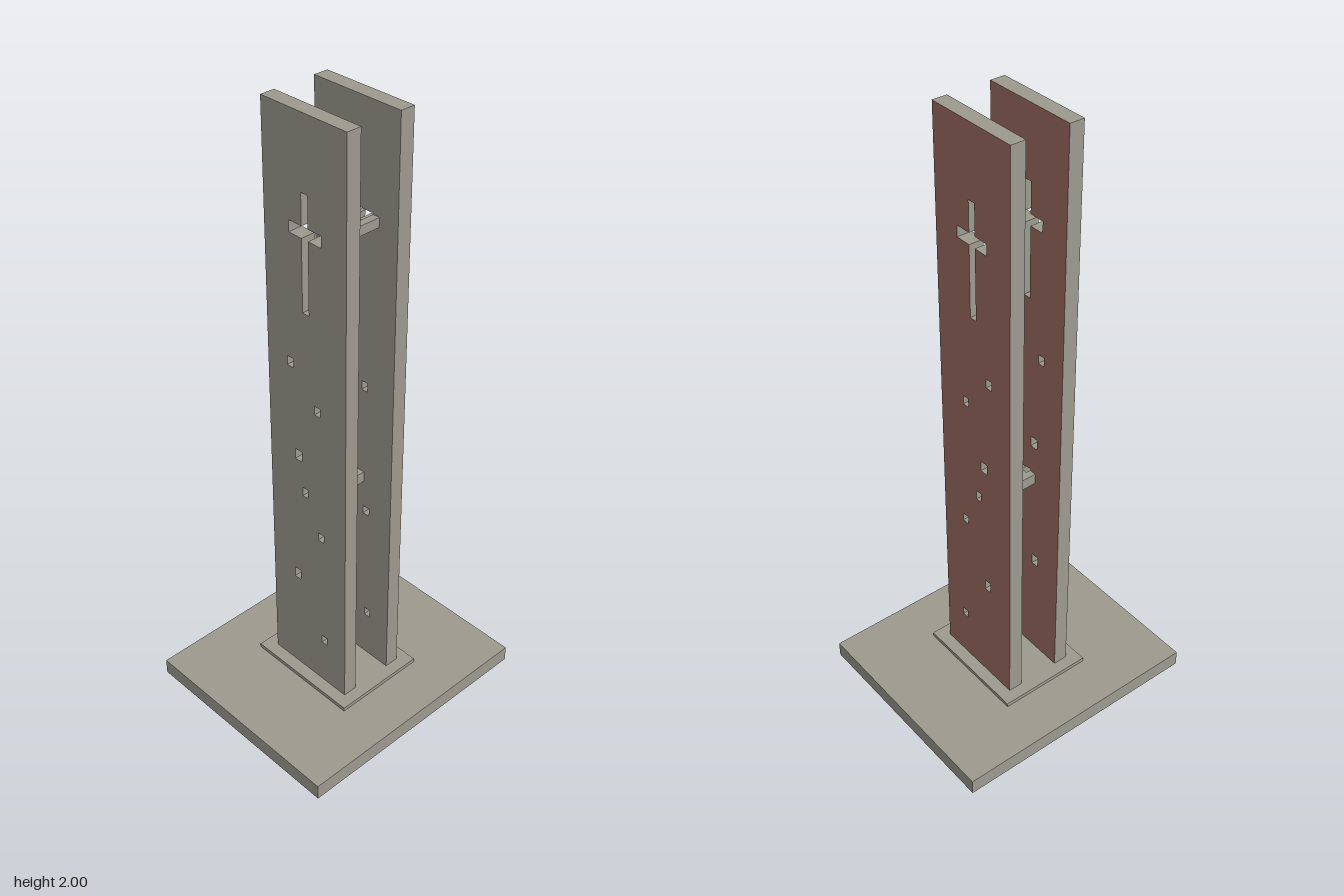
import * as THREE from 'three';

const stone = new THREE.MeshStandardMaterial({ color: 0x9e9c90 });
stone.name = 'grey stone';
const red = new THREE.MeshStandardMaterial({ color: 0xa37266 });
red.name = 'rust red';

const BASE_TOP = 0.053, PLINTH_TOP = 0.066, TOP = 2;
const INNER = 0.07, THICK = 0.048, HALF_DEPTH = 0.16;

// small windows: centre z, centre y, width, height
const windows = [
  [-0.066, 1.23, 0.025, 0.03],
  [0.043, 1.111, 0.023, 0.03],
  [-0.038, 0.915, 0.028, 0.036],
  [-0.012, 0.789, 0.022, 0.032],
  [0.056, 0.655, 0.025, 0.028],
  [-0.051, 0.448, 0.026, 0.037],
  [0.068, 0.241, 0.023, 0.029],
];

// closed outline from [x, y] pairs
const outline = (points, Type = THREE.Shape) =>
  new Type(points.map(([x, y]) => new THREE.Vector2(x, y)));

function box(name, x0, x1, y0, y1, z0, z1) {
  const mesh = new THREE.Mesh(new THREE.BoxGeometry(x1 - x0, y1 - y0, z1 - z0), stone);
  mesh.position.set((x0 + x1) / 2, (y0 + y1) / 2, (z0 + z1) / 2);
  mesh.name = name;
  return mesh;
}

// upright slab with a cross and windows cut through, red on its +x face
function slabGeometry() {
  const d = HALF_DEPTH;
  const shape = outline([[-d, PLINTH_TOP], [d, PLINTH_TOP], [d, TOP], [-d, TOP]]);
  // drawn in (-z, y)
  const l = -0.0135, r = 0.0115, armL = -0.065, armR = 0.062;
  const foot = 1.414, head = 1.777, armLow = 1.643, armHigh = 1.679;
  shape.holes.push(outline([
    [l, foot], [r, foot], [r, armLow], [armR, armLow], [armR, armHigh], [r, armHigh],
    [r, head], [l, head], [l, armHigh], [armL, armHigh], [armL, armLow], [l, armLow],
  ], THREE.Path));
  for (const [z, y, w, h] of windows) {
    const a = -z - w / 2, b = -z + w / 2, c = y - h / 2, e = y + h / 2;
    shape.holes.push(outline([[a, c], [b, c], [b, e], [a, e]], THREE.Path));
  }
  const geometry = new THREE.ExtrudeGeometry(shape, { depth: THICK, bevelEnabled: false });
  geometry.rotateY(Math.PI / 2);
  // the lids come first: -x lid, then +x lid, then all edges
  const lids = geometry.groups[0].count;
  const total = geometry.attributes.position.count;
  geometry.clearGroups();
  geometry.addGroup(0, lids / 2, 0);
  geometry.addGroup(lids / 2, lids / 2, 1);
  geometry.addGroup(lids, total - lids, 0);
  return geometry;
}

// lower brace, notched at both ends where a window meets it
function lowerBrace() {
  const group = new THREE.Group();
  group.name = 'lowerBrace';
  const front = 0.045, back = -0.047, n0 = -0.023, n1 = -0.001, cut = 0.055, split = 0.773;
  group.add(box('braceUnderside', -INNER, INNER, 0.764, split, back, front));
  // drawn in (x, -z), raised along y
  const shape = outline([
    [-INNER, -front], [INNER, -front], [INNER, -n1], [cut, -n1], [cut, -n0], [INNER, -n0],
    [INNER, -back], [-INNER, -back], [-INNER, -n0], [-cut, -n0], [-cut, -n1], [-INNER, -n1],
  ]);
  const geometry = new THREE.ExtrudeGeometry(shape, { depth: 0.8 - split, bevelEnabled: false });
  geometry.rotateX(-Math.PI / 2);
  const upper = new THREE.Mesh(geometry, stone);
  upper.position.y = split;
  upper.name = 'braceTop';
  group.add(upper);
  return group;
}

export function createModel() {
  const model = new THREE.Group();
  model.name = 'monument';

  // stepped foundation
  model.add(box('base', -0.427, 0.427, 0, BASE_TOP, -0.366, 0.366));
  model.add(box('plinth', -0.159, 0.159, BASE_TOP, PLINTH_TOP, -0.2, 0.2));

  // twin slabs
  const geometry = slabGeometry();
  for (const [name, x] of [['leftSlab', INNER], ['rightSlab', -INNER - THICK]]) {
    const slab = new THREE.Mesh(geometry, [stone, red]);
    slab.position.x = x;
    slab.name = name;
    model.add(slab);
  }

  // braces between the slabs
  model.add(box('upperBrace', -INNER, INNER, 1.645, 1.675, 0.066, 0.09));
  model.add(lowerBrace());
  return model;
}
